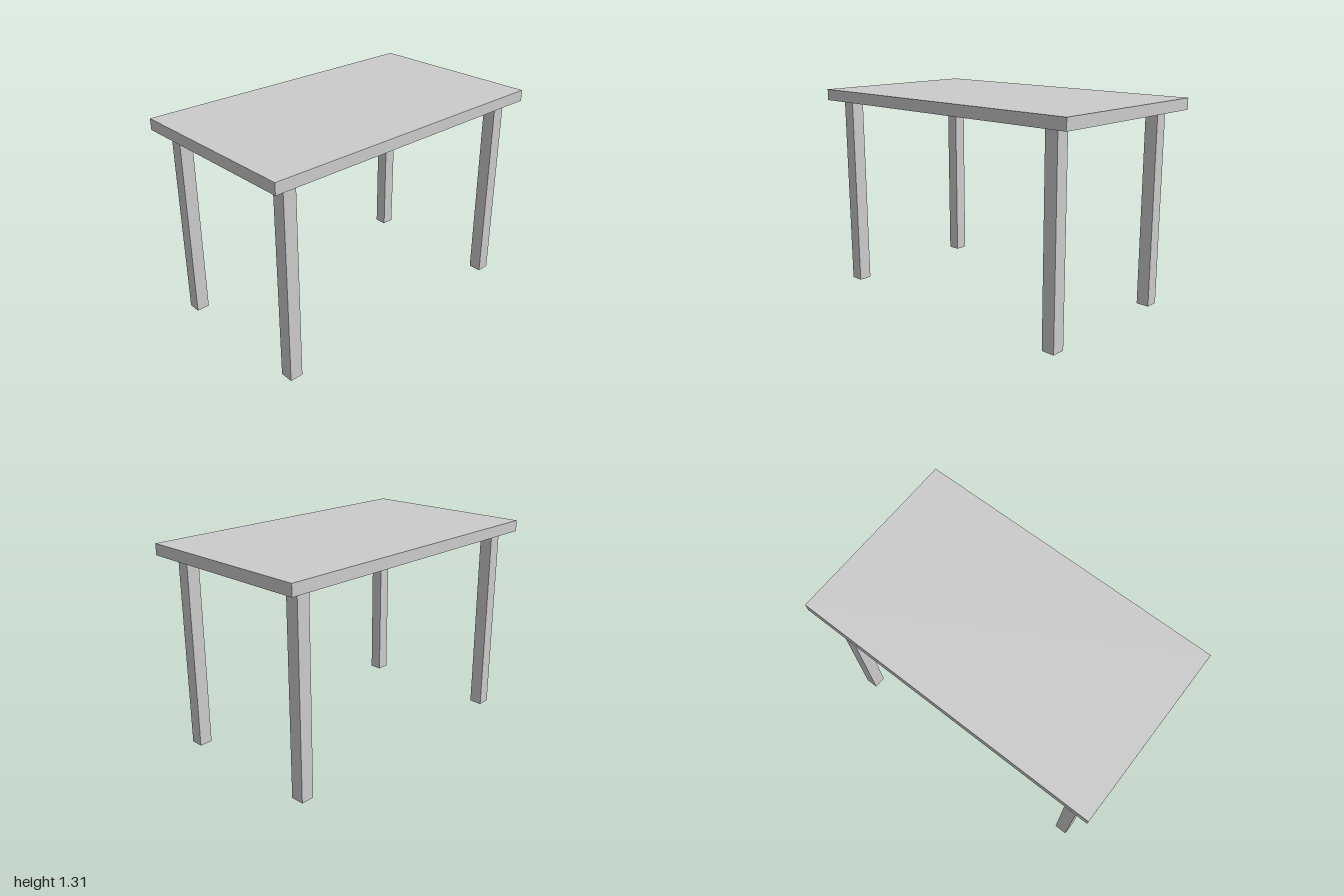
import * as THREE from 'three';

export function createModel() {
  const table = new THREE.Group();
  table.name = 'table';
  const material = new THREE.MeshStandardMaterial({ color: 0xcccccc, flatShading: true });

  // Adds a box that rests on height y
  const addBox = (name, w, h, d, x, y, z) => {
    const mesh = new THREE.Mesh(new THREE.BoxGeometry(w, h, d), material);
    mesh.name = name;
    mesh.position.set(x, y + h / 2, z);
    table.add(mesh);
  };

  const legHeight = 1.236;
  const legSize = 0.083;

  // Table top
  addBox('tableTop', 2, 0.071, 1.168, 0, legHeight, 0);

  // Four square legs, the back right one set slightly further out
  const legs = [
    ['frontLeftLeg', 0.854, 0.478],
    ['frontRightLeg', -0.862, 0.478],
    ['backLeftLeg', 0.854, -0.464],
    ['backRightLeg', -0.875, -0.464],
  ];
  for (const [name, x, z] of legs) addBox(name, legSize, legHeight, legSize, x, 0, z);

  return table;
}
